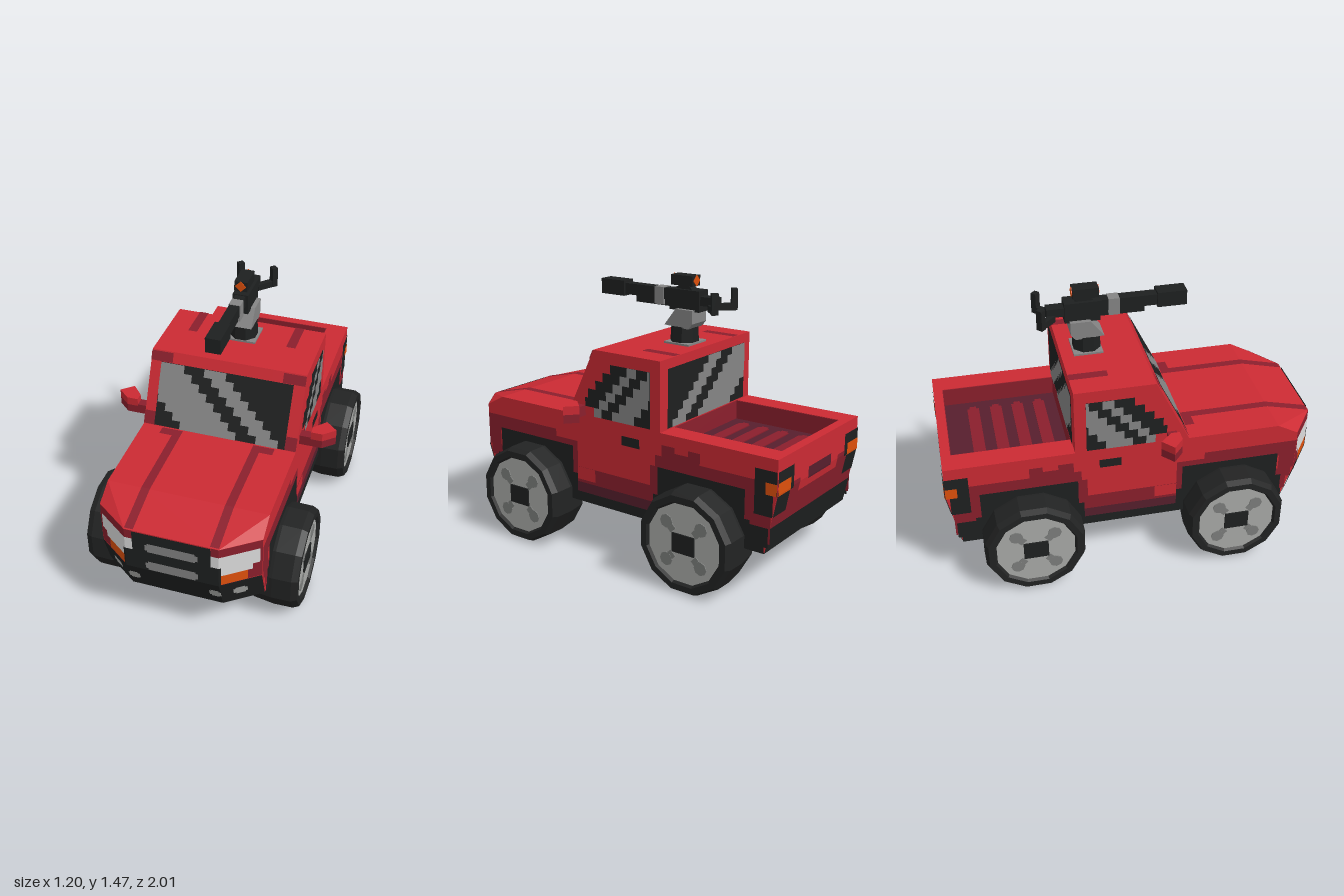
import * as THREE from 'three';

const mat = (name, color) => Object.assign(new THREE.MeshStandardMaterial({ color, side: THREE.DoubleSide, flatShading: true }), { name });

export function createModel() {
  const red = mat('body red', 0xcb2a33), dark = mat('dark red', 0x8a1f2c), wine = mat('wine red', 0x571f2d);
  const black = mat('trim black', 0x1e2020), tyre = mat('tyre black', 0x222323), grey = mat('glass grey', 0x858585);
  const light = mat('lamp white', 0xdcdcdc), rimGrey = mat('rim grey', 0xa9aaa7), boltGrey = mat('bolt grey', 0x7c7e7c);
  const orange = mat('lamp orange', 0xde500c);
  const model = new THREE.Group();

  const add = (name, geo, material, parent = model) => {
    const m = new THREE.Mesh(geo, material);
    m.name = name;
    parent.add(m);
    return m;
  };
  // Box from its limits on each axis
  const box = (name, material, x0, x1, y0, y1, z0, z1, parent) => {
    const m = add(name, new THREE.BoxGeometry(x1 - x0, y1 - y0, z1 - z0), material, parent);
    m.position.set((x0 + x1) / 2, (y0 + y1) / 2, (z0 + z1) / 2);
    return m;
  };
  // Solid from side profiles [z, y] placed at increasing x; profiles run rear-bottom, top, front-bottom
  const loft = (name, material, columns) => {
    const pos = [];
    const v = ([x, p], k) => [x, p[k % p.length][1], p[k % p.length][0]];
    for (let i = 0; i < columns.length - 1; i++) {
      const c = columns[i], d = columns[i + 1];
      for (let k = 0; k < c[1].length; k++) {
        const A = v(c, k), B = v(c, k + 1), C = v(d, k + 1), D = v(d, k);
        if (c[0] > 0) pos.push(...A, ...B, ...D, ...B, ...C, ...D);
        else pos.push(...A, ...B, ...C, ...A, ...C, ...D);
      }
    }
    [[columns[0], 1], [columns[columns.length - 1], -1]].forEach(([col, sign]) => {
      const pts = col[1].map(([z, y]) => new THREE.Vector2(z, y));
      for (const [a, b, c] of THREE.ShapeUtils.triangulateShape(pts, [])) {
        const turn = pts[b].clone().sub(pts[a]).cross(pts[c].clone().sub(pts[a]));
        const order = turn * sign > 0 ? [a, b, c] : [a, c, b];
        order.forEach((k) => pos.push(...v(col, k)));
      }
    });
    const g = new THREE.BufferGeometry();
    g.setAttribute('position', new THREE.Float32BufferAttribute(pos, 3));
    g.computeVertexNormals();
    return add(name, g, material);
  };
  // Painted rectangles [u0, u1, v0, v1] laid on a surface, cut where the surface bends
  const paint = (name, material, rects, map, cutsU = [], cutsV = []) => {
    const pos = [];
    const split = (a, b, cuts) => [a, ...cuts.filter((c) => c > a && c < b), b];
    for (const [a, b, c, d] of rects) {
      const us = split(a, b, cutsU), vs = split(c, d, cutsV);
      for (let i = 0; i < us.length - 1; i++) for (let j = 0; j < vs.length - 1; j++) {
        const q = [[us[i], vs[j]], [us[i + 1], vs[j]], [us[i + 1], vs[j + 1]], [us[i], vs[j + 1]]].map((p) => map(...p));
        pos.push(...q[0], ...q[1], ...q[2], ...q[0], ...q[2], ...q[3]);
      }
    }
    const g = new THREE.BufferGeometry();
    g.setAttribute('position', new THREE.Float32BufferAttribute(pos, 3));
    g.computeVertexNormals();
    return add(name, g, material);
  };
  const both = (rects) => rects.flatMap(([a, b, c, d]) => [[a, b, c, d], [-b, -a, c, d]]);

  // Hood and cab, with a black underside of the same outline
  const sideProfile = (f) => [[-0.33, 0.27], [-0.33, 1.115], [0.09, 1.115], [0.27, 0.75], [0.76, 0.75], [f, 0.69], [f, 0.45], [f - 0.06, 0.27]];
  const floorProfile = (f) => [[-0.94, 0.264], [-0.94, 0.271], [f - 0.059, 0.271], [f - 0.059, 0.264]];
  const outline = [[-0.42, 0.87], [-0.24, 1], [0.24, 1], [0.42, 0.87]];
  loft('cabAndHood', red, outline.map(([x, f]) => [x, sideProfile(f)]));
  loft('underside', black, outline.map(([x, f]) => [x, floorProfile(f)]));

  // Cargo bed
  const bedY = 0.64;
  const bedSide = [[-0.94, 0.27], [-1, 0.58], [-1, 0.75], [-0.33, 0.75], [-0.33, 0.27]];
  const bedMid = [[-0.94, 0.27], [-1, 0.58], [-1, 0.75], [-0.95, 0.75], [-0.95, bedY], [-0.33, bedY], [-0.33, 0.27]];
  loft('bedSideRight', red, [[-0.42, bedSide], [-0.3, bedSide]]);
  loft('bedSideLeft', red, [[0.3, bedSide], [0.42, bedSide]]);
  loft('tailgateAndFloor', red, [[-0.3, bedMid], [0.3, bedMid]]);
  box('bedFloor', wine, -0.3, 0.3, bedY, bedY + 0.005, -0.95, -0.33);
  for (const s of [-1, 1]) box('bedInnerWall', dark, s * 0.298 - 0.002, s * 0.298 + 0.002, bedY, 0.748, -0.95, -0.33);
  box('bedRearWall', dark, -0.3, 0.3, bedY, 0.748, -0.951, -0.947);
  box('bedFrontWall', dark, -0.3, 0.3, bedY, 0.748, -0.334, -0.33);
  for (const z of [-0.795, -0.67, -0.55, -0.43]) {
    box('bedRib', dark, -0.225, 0.225, bedY + 0.003, bedY + 0.01, z - 0.032, z + 0.032);
    box('bedRibEnds', dark, -0.245, 0.245, bedY + 0.003, bedY + 0.009, z - 0.018, z + 0.018);
  }

  // Nose paint
  const front = (k) => (x, y) => [x, y, 1 - Math.max(0, Math.abs(x) - 0.24) * 0.722 - Math.max(0, 0.45 - y) / 3 + k * 0.002];
  const nose = (name, m, k, rects) => paint(name, m, rects, front(k), [-0.24, 0.24], [0.45]);
  nose('nosePanel', dark, 1, both([[0.2, 0.42, 0.455, 0.69]]));
  nose('headlight', light, 2, both([[0.2, 0.41, 0.55, 0.64], [0.2, 0.38, 0.515, 0.55]]));
  nose('turnSignal', orange, 2, both([[0.22, 0.36, 0.455, 0.515]]));
  nose('grille', black, 3, [[-0.2, 0.2, 0.455, 0.69], [-0.25, 0.25, 0.455, 0.57], [-0.42, 0.42, 0.27, 0.455]]);
  nose('grilleBar', grey, 4, [0.603, 0.483].flatMap((y) => [[-0.135, 0.135, y - 0.018, y + 0.018], [-0.122, 0.122, y - 0.028, y + 0.028]]));
  nose('fogLamp', rimGrey, 4, both([0.212, 0.324].flatMap((x) => [[x - 0.03, x + 0.03, 0.345, 0.385], [x - 0.02, x + 0.02, 0.335, 0.395]])));

  // Hood and roof stripes
  const hood = (x, z) => [x, 0.753 - Math.max(0, z - 0.76) * 0.25, z];
  paint('hoodStripe', dark, both([[0.195, 0.24, 0.28, 0.995], [0.24, 0.31, 0.28, 0.33]]), hood, [], [0.76]);
  paint('roofStripe', dark, both([[0.25, 0.3, -0.33, -0.13]]), (x, z) => [x, 1.118, z]);

  // Windows with stepped reflections
  const shield = (k) => (x, y) => [x, y, 0.272 - (y - 0.75) * 0.493 + k * 0.003];
  const rear = (k) => (x, y) => [x, y, -0.331 - k * 0.003];
  const glareRows = [];
  for (let i = 0; i < 8; i++) {
    const y1 = 1.065 - i * 0.0385, shift = i * 0.046;
    for (const [a, b] of [[-0.54, -0.23], [-0.12, 0]])
      glareRows.push([Math.max(-0.36, a + shift), Math.min(0.36, b + shift), y1 - 0.0385, y1]);
  }
  paint('windshieldCorner', dark, both([[0.3, 0.42, 1.065, 1.112], [0.36, 0.42, 0.755, 0.82]]), shield(1));
  paint('windshield', black, [[-0.36, 0.36, 0.757, 1.065]], shield(2));
  paint('windshieldGlare', grey, glareRows, shield(3));
  paint('rearWindow', black, [[-0.36, 0.36, 0.757, 1.065]], rear(1));
  paint('rearWindowGlare', grey, glareRows, rear(2));

  // Tailgate paint
  const tail = (name, m, k, rects) => paint(name, m, rects, (x, y) => [x, y, -1 + Math.max(0, 0.58 - y) * 0.194 - k * 0.0015], [], [0.58]);
  tail('tailPanel', dark, 1, [[-0.42, 0.42, 0.39, 0.53], ...both([[0.2, 0.42, 0.53, 0.6]])]);
  tail('tailgateHandle', wine, 2, [[-0.12, 0.12, 0.57, 0.63]]);
  tail('rearBumper', black, 2, [[-0.42, 0.42, 0.27, 0.4]]);
  tail('tailLampFrame', black, 3, both([[0.27, 0.42, 0.57, 0.69], [0.3, 0.42, 0.46, 0.57]]));
  tail('tailLamp', orange, 4, both([[0.3, 0.42, 0.57, 0.635]]));

  // Paint, windows and mirrors on both flanks
  const sideWindow = [], sideGlare = [];
  for (let i = 0; i < 6; i++) {
    const y0 = 0.757 + i * 0.049, y1 = y0 + 0.049, shift = -i * 0.045;
    const edge = [0.09, 0.15, 0.13, 0.08, 0.03, -0.02][i];
    sideWindow.push([-0.27, edge, y0, y1]);
    for (const [a, b] of [[0.04, 0.1], [-0.17, -0.03]]) {
      const lo = Math.max(-0.27, a + shift), hi = Math.min(edge, b + shift);
      if (hi > lo) sideGlare.push([lo, hi, y0, y1]);
    }
  }
  for (const s of [-1, 1]) {
    const flank = (name, m, k, rects) => paint(name, m, rects, (z, y) => [s * (0.42 + k * 0.002), y, z]);
    flank('sidePanel', dark, 1, [[-0.97, 0.83, 0.32, 0.4], [-0.97, 0.855, 0.4, 0.46], [0.78, 0.87, 0.46, 0.64], [0.36, 0.78, 0.55, 0.64], [0.21, 0.36, 0.46, 0.6],
      [-0.33, -0.27, 0.46, 0.57], [-0.88, -0.3, 0.55, 0.63], [-0.42, -0.34, 0.63, 0.69], [-0.57, -0.5, 0.63, 0.69], [-0.5, -0.42, 0.63, 0.66], [-0.88, -0.82, 0.46, 0.57]]);
    flank('doorLowerPanel', red, 2, [[0.09, 0.21, 0.39, 0.46]]);
    flank('sill', wine, 2, [[-0.3, 0.25, 0.32, 0.375]]);
    flank('lowerTrim', black, 2, [[-0.94, 0.81, 0.27, 0.32], [-0.96, -0.85, 0.3, 0.4]]);
    flank('wheelArch', black, 3, [[0.24, 0.77, 0.42, 0.57], [0.21, 0.8, 0.27, 0.42], [-0.83, -0.32, 0.42, 0.57], [-0.86, -0.29, 0.27, 0.42]]);
    flank('sideTailLampFrame', black, 2, [[-0.98, -0.88, 0.46, 0.69], [-1, -0.98, 0.57, 0.69]]);
    flank('sideTailLamp', orange, 3, [[-1, -0.94, 0.57, 0.63]]);
    flank('doorHandle', black, 3, [[-0.205, -0.09, 0.64, 0.69]]);
    flank('sideWindow', black, 1, sideWindow);
    flank('sideWindowGlare', grey, 2, sideGlare);

    box('mirrorArm', dark, s * 0.45 - 0.04, s * 0.45 + 0.04, 0.755, 0.81, 0.15, 0.2);
    const shape = new THREE.Shape([[0.48, 0.2], [0.48, 0.155], [0.54, 0.09], [0.602, 0.145], [0.54, 0.2]].map(([x, z]) => new THREE.Vector2(s * x, -z)));
    for (const [name, m, y, depth] of [['mirrorBase', dark, 0.755, 0.045], ['mirrorHead', red, 0.8, 0.045]]) {
      const part = add(name, new THREE.ExtrudeGeometry(shape, { depth, bevelEnabled: false }), m);
      part.rotation.x = -Math.PI / 2;
      part.position.y = y;
    }
  }

  // Wheels
  const tyreProfile = [[0, -0.132], [0.18, -0.132], [0.258, -0.112], [0.272, 0], [0.27, 0.1], [0.255, 0.132], [0.222, 0.132], [0.207, 0.112]].map(([r, h]) => new THREE.Vector2(r, h));
  const sides = 12, turn = Math.PI / sides;
  for (const s of [-1, 1]) for (const z of [0.513, -0.573]) {
    const wheel = new THREE.Group();
    wheel.name = 'wheel';
    add('tyre', new THREE.LatheGeometry(tyreProfile, sides, turn), tyre, wheel);
    add('rim', new THREE.CylinderGeometry(0.212, 0.212, 0.02, sides, 1, false, turn), rimGrey, wheel).position.y = 0.108;
    for (const a of [1, 3, 5, 7]) {
      const t = (a * Math.PI) / 4;
      add('bolt', new THREE.CylinderGeometry(0.036, 0.036, 0.008, 8), boltGrey, wheel).position.set(Math.cos(t) * 0.142, 0.119, Math.sin(t) * 0.142);
      const spoke = add('spoke', new THREE.BoxGeometry(0.05, 0.006, 0.04), boltGrey, wheel);
      spoke.position.set(Math.cos(t) * 0.11, 0.119, Math.sin(t) * 0.11);
      spoke.rotation.y = -t;
    }
    box('hubCap', black, -0.05, 0.05, 0.11, 0.126, -0.065, 0.065, wheel);
    wheel.rotation.set(0, s > 0 ? 0 : Math.PI, -Math.PI / 2, 'YXZ');
    wheel.position.set(s * 0.4425, 0.266, z);
    model.add(wheel);
  }

  // Roof gun: pedestal, mount, receiver, barrel, sight, grips
  box('gunBasePlate', grey, -0.083, 0.083, 1.115, 1.125, -0.265, -0.11);
  add('gunPedestal', new THREE.CylinderGeometry(0.072, 0.077, 0.085, 8, 1, false, Math.PI / 8), black).position.set(0, 1.165, -0.185);
  const mount = [[-0.25, 1.2], [-0.275, 1.23], [-0.275, 1.3], [-0.17, 1.3], [-0.1, 1.21]];
  loft('gunMount', grey, [[-0.065, mount], [0.065, mount]]);
  box('gunReceiver', black, -0.042, 0.042, 1.29, 1.4, -0.3, -0.115);
  box('gunMuzzle', black, -0.04, 0.04, 1.326, 1.408, 0.185, 0.34);
  box('gunBarrel', black, -0.028, 0.028, 1.335, 1.395, -0.12, 0.19);
  box('gunGasTube', black, -0.018, 0.018, 1.3, 1.335, -0.12, 0.12);
  box('gunClamp', grey, -0.031, 0.031, 1.305, 1.398, -0.07, -0.012);
  const ring = add('sightRing', new THREE.CylinderGeometry(0.055, 0.055, 0.05, 10), black);
  ring.rotation.z = Math.PI / 2;
  ring.position.set(0, 1.375, -0.195);
  box('gunSight', black, -0.035, 0.035, 1.418, 1.472, -0.255, -0.12);
  for (const z of [-0.118, -0.257]) {
    const lens = add('sightLens', new THREE.BoxGeometry(0.042, 0.042, 0.004), orange);
    lens.rotation.z = Math.PI / 4;
    lens.position.set(0, 1.446, z);
  }
  box('gunTail', black, -0.03, 0.03, 1.325, 1.372, -0.39, -0.3);
  for (const s of [-1, 1]) {
    const arm = add('gripArm', new THREE.BoxGeometry(0.11, 0.035, 0.03), black);
    arm.position.set(s * 0.058, 1.318, -0.395);
    arm.rotation.y = s * 0.8;
    const grip = add('grip', new THREE.BoxGeometry(0.03, 0.11, 0.035), black);
    grip.position.set(s * 0.093, 1.357, -0.428);
    grip.rotation.y = s * 0.8;
  }
  return model;
}
